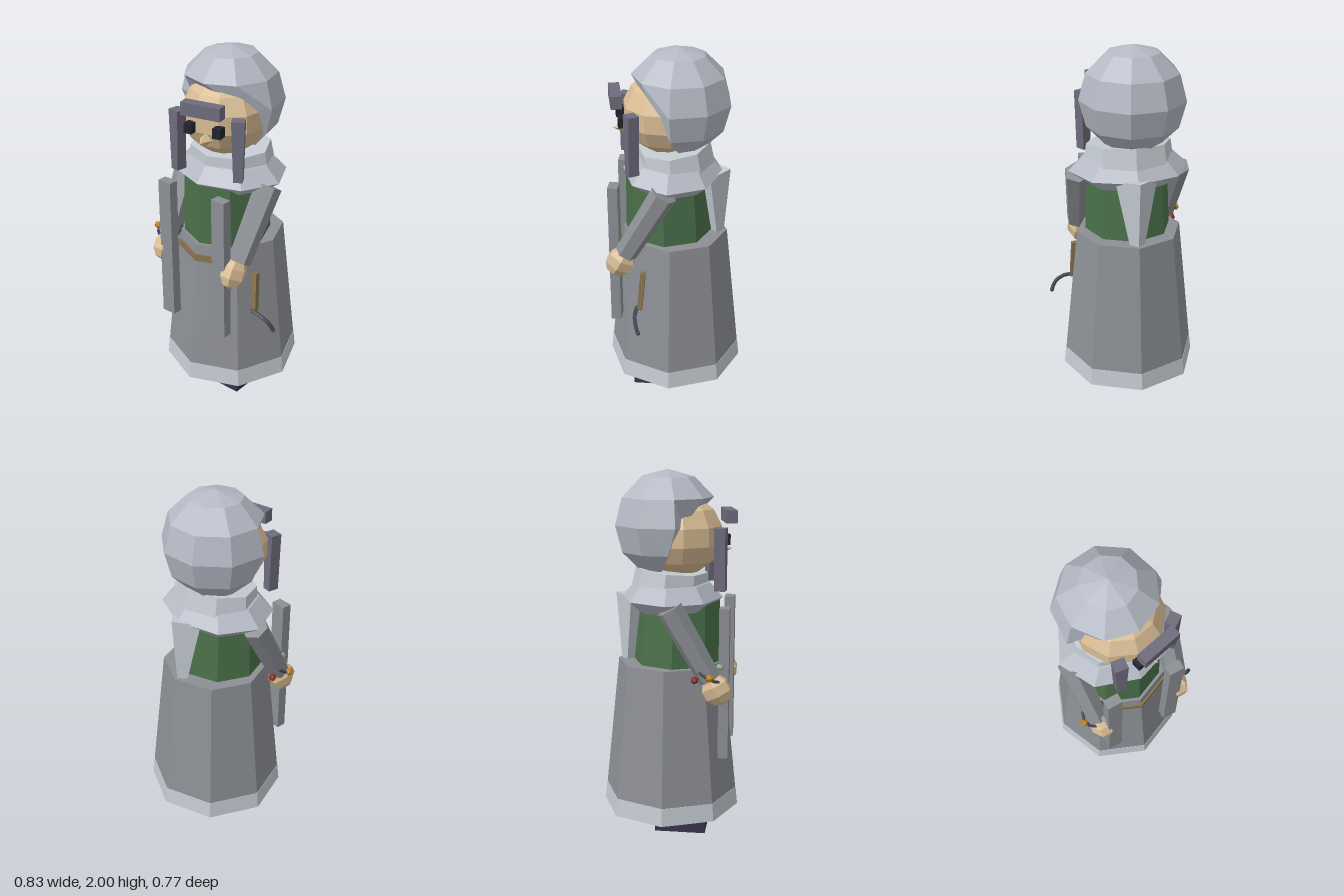
import * as THREE from 'three';

const CX = -0.028; // body axis

const mat = (color) => new THREE.MeshStandardMaterial({ color, flatShading: true, side: THREE.DoubleSide });
const M = {
  cloth: mat(0x8c8f94), trim: mat(0xc4cbd2), hair: mat(0xb4b9c4), lock: mat(0x6e6c7c),
  skin: mat(0xd9bd95), green: mat(0x4a704a), belt: mat(0x8a7450), boot: mat(0x38364a),
  dark: mat(0x22222e), metal: mat(0x484854), amber: mat(0xc08020), red: mat(0x8c3020), jade: mat(0x9aa894),
};

export function createModel() {
  const root = new THREE.Group();

  function add(name, geo, material, x = 0, y = 0, z = 0, parent = root) {
    const mesh = new THREE.Mesh(geo, material);
    mesh.name = name;
    mesh.position.set(x, y, z);
    parent.add(mesh);
    return mesh;
  }
  const box = (w, h, d) => new THREE.BoxGeometry(w, h, d);
  const drum = (rTop, rBottom, h, sides = 8, open = false) =>
    new THREE.CylinderGeometry(rTop, rBottom, h, sides, 1, open);

  // Turn a mesh so its y axis runs from a to b
  function span(mesh, a, b) {
    mesh.position.copy(a).add(b).multiplyScalar(0.5);
    mesh.quaternion.setFromUnitVectors(new THREE.Vector3(0, 1, 0), b.clone().sub(a).normalize());
    return mesh;
  }

  // Robe skirt, hem, torso and belt
  add('skirt', drum(0.295, 0.374, 0.75), M.cloth, CX, 0.575, 0);
  add('hem', drum(0.376, 0.386, 0.1), M.trim, CX, 0.15, 0);
  add('torso', drum(0.228, 0.245, 0.4), M.green, CX, 1.1, 0.04).rotation.x = 0.03;
  add('belt', drum(0.272, 0.272, 0.04), M.belt, CX, 0.87, 0.04);

  // Shoulder mantle and scarf
  const mantle = [[0.24, 1.24], [0.335, 1.31], [0.25, 1.39], [0.15, 1.4]]
    .map(([r, y]) => new THREE.Vector2(r, y));
  add('mantle', new THREE.LatheGeometry(mantle, 8), M.hair, CX, 0, 0.01).scale.z = 0.83;
  const scarf = add('scarf', drum(0.235, 0.25, 0.115), M.trim, CX, 1.405, 0);
  scarf.scale.z = 0.85;
  scarf.rotation.x = 0.1;

  // Hood hanging at the back
  const hood = add('hood', drum(0.115, 0.04, 0.38, 4), M.trim, CX, 1.125, -0.222);
  hood.rotation.x = 0.1;
  hood.scale.z = 0.9;

  // Boots, front panels, arms and hands
  for (const s of [-1, 1]) {
    const side = s > 0 ? 'left' : 'right';
    add(side + 'Boot', box(0.175, 0.12, 0.28), M.boot, CX + s * 0.131, 0.06, 0.08);
    add(side + 'FrontPanel', box(0.085, 0.83, 0.055), M.cloth, CX + s * 0.188, 0.87, 0.315);

    const shoulder = new THREE.Vector3(CX + s * 0.282, 1.29, 0.03);
    const wrist = new THREE.Vector3(CX + s * 0.256, 0.91, 0.245);
    const sleeve = drum(0.073, 0.063, shoulder.distanceTo(wrist), 6);
    span(add(side + 'Sleeve', sleeve, M.cloth), wrist, shoulder);
    const hand = add(side + 'Hand', new THREE.SphereGeometry(0.09, 6, 5), M.skin, CX + s * 0.246, 0.85, 0.28);
    hand.scale.set(0.75, 1, 0.95);
    hand.rotation.x = -0.5;
  }

  // Beaded bracelet on the right wrist
  const bracelet = add('bracelet', new THREE.TorusGeometry(0.073, 0.009, 4, 10), M.metal, CX - 0.258, 0.935, 0.235);
  bracelet.rotation.x = Math.PI / 2 + 0.52;
  [[-0.365, 0.935, 0.25, M.amber], [-0.32, 0.91, 0.165, M.red], [-0.258, 0.97, 0.295, M.jade]]
    .forEach(([x, y, z, m]) => add('bead', new THREE.IcosahedronGeometry(0.022), m, x, y, z));

  // Hooked tool hanging at the left hip
  span(add('toolHandle', box(0.032, 0.23, 0.028), M.belt),
    new THREE.Vector3(0.275, 0.58, 0.168), new THREE.Vector3(0.264, 0.81, 0.147));
  const hook = new THREE.CatmullRomCurve3([[0.265, 0.585, 0.185], [0.33, 0.575, 0.188], [0.38, 0.545, 0.178], [0.402, 0.5, 0.162]]
    .map((p) => new THREE.Vector3(...p)));
  add('toolHook', new THREE.TubeGeometry(hook, 6, 0.012, 5), M.metal);
  add('toolTip', new THREE.IcosahedronGeometry(0.013), M.metal, 0.402, 0.5, 0.162);

  // Head, turned a little to its left
  const head = new THREE.Group();
  head.name = 'head';
  head.position.set(CX, 1.65, 0.045);
  head.rotation.y = 0.22;
  root.add(head);
  add('face', new THREE.SphereGeometry(0.243, 10, 7), M.skin, 0, 0, 0, head).scale.y = 0.92;
  for (const s of [-1, 1]) {
    add('eye', box(0.046, 0.055, 0.05), M.dark, s * 0.083, -0.02, 0.243, head);
    const lock = box(0.07, 0.335, 0.06);
    const p = lock.attributes.position;
    for (let i = 0; i < p.count; i++) if (p.getY(i) < 0) p.setX(i, p.getX(i) * 0.7);
    add('sideLock', lock, M.lock, s * 0.178, -0.117, 0.205, head).rotation.y = s * 0.35;
  }
  const nose = add('nose', new THREE.ConeGeometry(0.036, 0.07, 4), M.skin, 0, -0.08, 0.258, head);
  nose.rotation.x = Math.PI / 2;
  add('fringe', box(0.225, 0.07, 0.06), M.lock, 0.01, 0.1, 0.275, head);

  // Hair: a low ball whose front is pressed back to open around the face
  const hair = new THREE.SphereGeometry(0.292, 9, 6);
  hair.rotateY(0.28);
  const hp = hair.attributes.position;
  for (let i = 0; i < hp.count; i++) {
    const y = hp.getY(i);
    if (y < 0.1) hp.setZ(i, Math.min(hp.getZ(i), 0.11 + Math.min(0, y) * 0.5));
  }
  add('hair', hair, M.hair, -0.046, 1.708, -0.018);

  return root;
}
